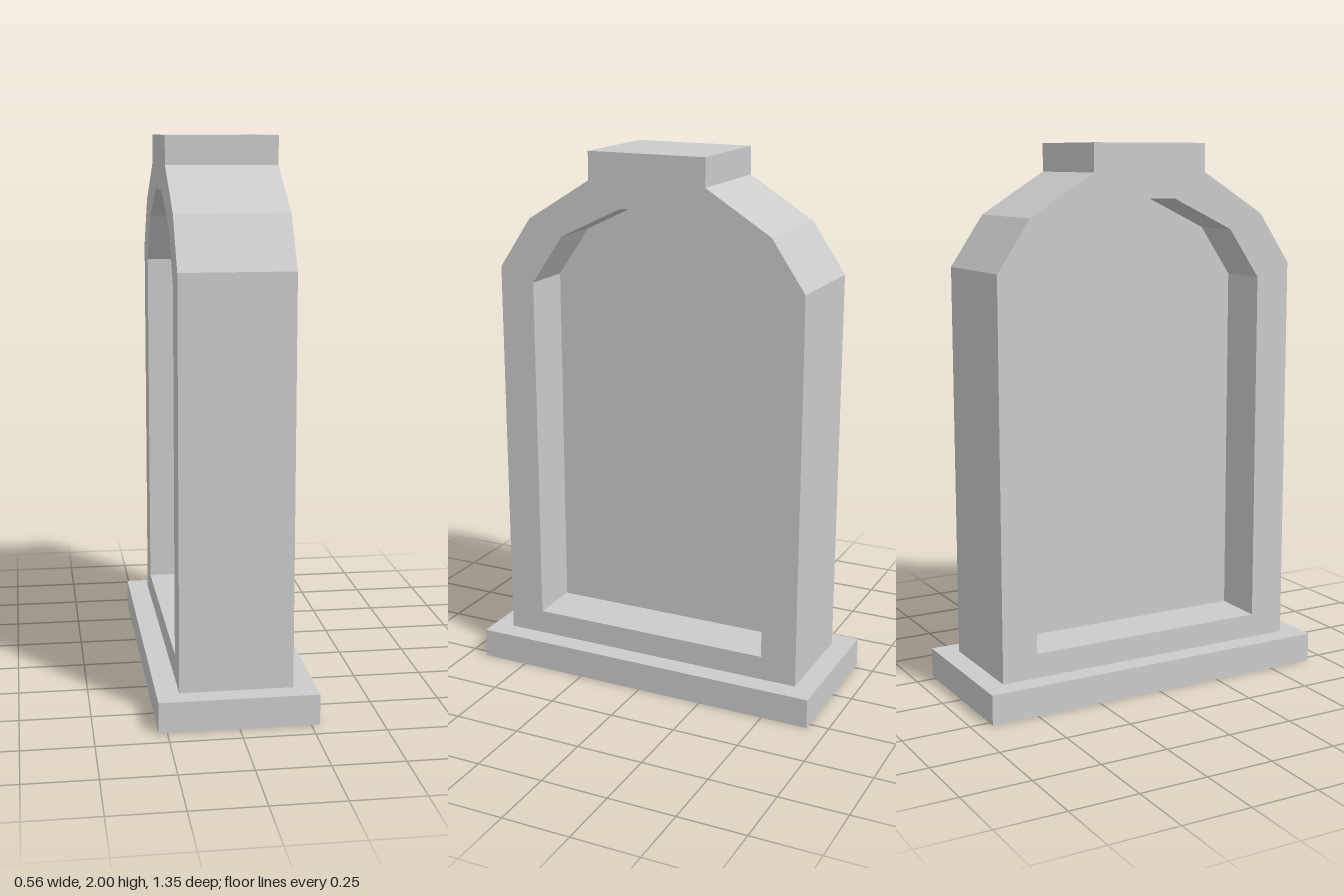
import * as THREE from 'three';

// Closed outline mirrored about the centre line, from half-profile points [z, y] running bottom to top
function mirrored(half, PathType) {
  const left = half.map(([z, y]) => [-z, y]).reverse();
  return new PathType([...half, ...left].map(([z, y]) => new THREE.Vector2(z, y)));
}

// Extrude an outline across the model's width (along x), centred on x = 0
function extrudeAcross(shape, width) {
  const geometry = new THREE.ExtrudeGeometry(shape, { depth: width, bevelEnabled: false });
  geometry.translate(0, 0, -width / 2);
  geometry.rotateY(-Math.PI / 2);
  return geometry;
}

export function createModel() {
  const group = new THREE.Group();
  const material = new THREE.MeshStandardMaterial({ color: 0xcccccc, flatShading: true });
  const add = (name, geometry) => {
    const mesh = new THREE.Mesh(geometry, material);
    mesh.name = name;
    group.add(mesh);
    return mesh;
  };

  // Plinth slab
  add('base', new THREE.BoxGeometry(0.56, 0.11, 1.352)).position.y = 0.055;

  // Arched surround with the raised block on top
  const outer = [[0.598, 0.11], [0.598, 1.56], [0.472, 1.745], [0.226, 1.897], [0.226, 2]];
  const opening = [[0.463, 0.2], [0.463, 1.51], [0.339, 1.69], [0.099, 1.805]];
  const frame = mirrored(outer, THREE.Shape);
  frame.holes.push(mirrored(opening, THREE.Path));
  add('archFrame', extrudeAcross(frame, 0.4));

  // Thin panel in the middle, recessed from both sides
  add('recessedPanel', extrudeAcross(mirrored(opening, THREE.Shape), 0.006));

  return group;
}
